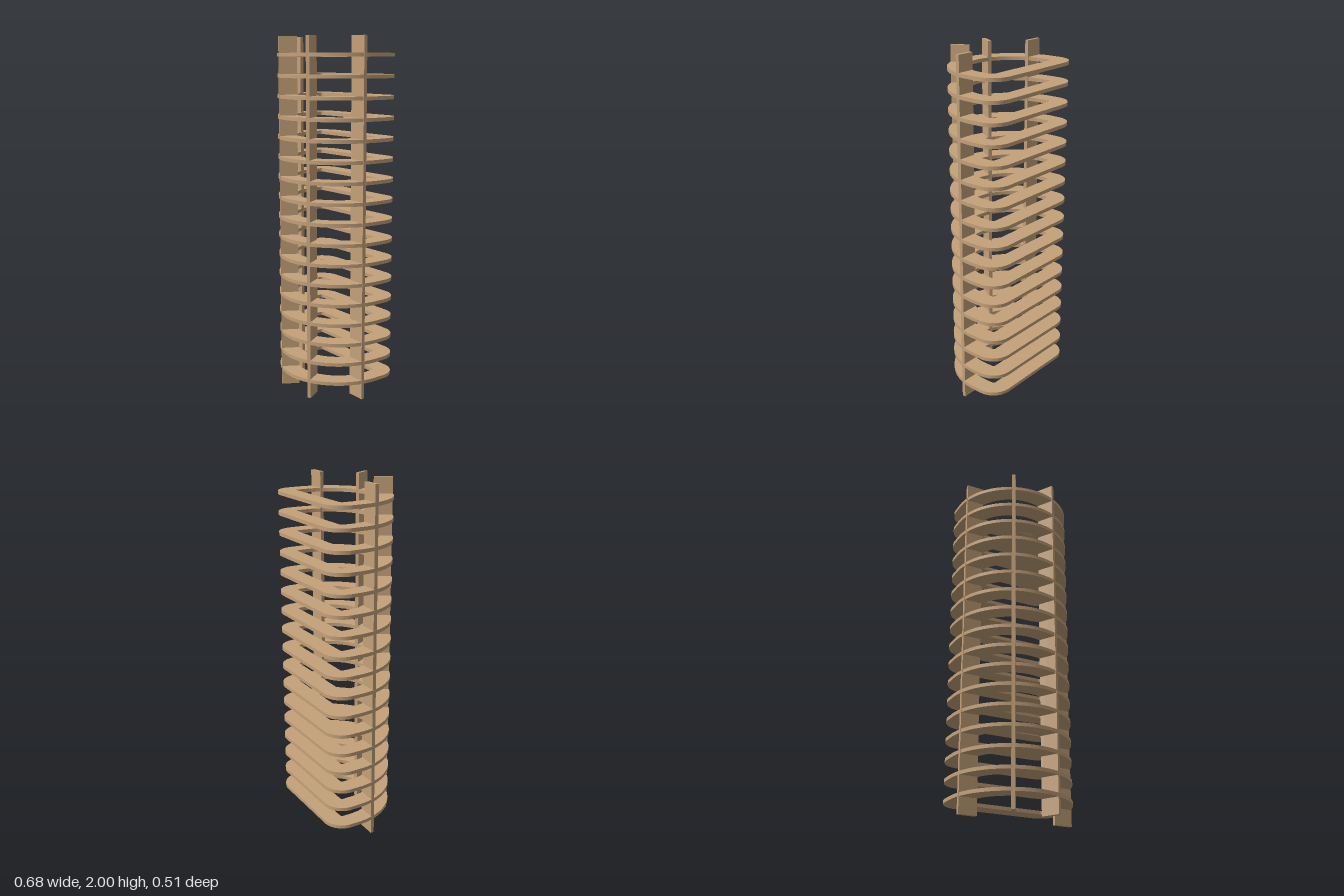
import * as THREE from 'three';

const RINGS = 17, SHEET = 0.02, HEIGHT = 2;
const ARC_Z = -0.087; // centre of the round front

// D-shaped outline: flat back with rounded corners, semicircular front.
// Shape y is -z, so the back is at the top of the shape.
function dOutline(path, r, back, corner) {
  const cy = -ARC_Z, by = -back;
  path.moveTo(-r, cy);
  path.absarc(0, cy, r, Math.PI, Math.PI * 2, false);
  path.lineTo(r, by - corner);
  path.absarc(r - corner, by - corner, corner, 0, Math.PI / 2, false);
  path.lineTo(-r + corner, by);
  path.absarc(-r + corner, by - corner, corner, Math.PI / 2, Math.PI, false);
  path.closePath();
  return path;
}

export function createModel() {
  const model = new THREE.Group();
  model.name = 'ribbedTower';
  const wood = new THREE.MeshStandardMaterial({ color: 0xc4a17a });
  wood.name = 'wood';

  // Stacked rings
  const shape = dOutline(new THREE.Shape(), 0.342, -0.257, 0.113);
  shape.holes.push(dOutline(new THREE.Path(), 0.243, -0.157, 0.014));
  const ringGeo = new THREE.ExtrudeGeometry(shape, { depth: SHEET, bevelEnabled: false, curveSegments: 32 });
  ringGeo.rotateX(-Math.PI / 2).translate(0, -SHEET / 2, 0);
  for (let i = 0; i < RINGS; i++) {
    const ring = new THREE.Mesh(ringGeo, wood);
    ring.name = `ring${i + 1}`;
    ring.position.y = 0.1 + (i * 1.8) / (RINGS - 1);
    model.add(ring);
  }

  // Upright slats, set radially: angle is measured from the front (+z)
  function slat(name, angle, inner, outer) {
    const mesh = new THREE.Mesh(new THREE.BoxGeometry(SHEET, HEIGHT, outer - inner), wood);
    const mid = (inner + outer) / 2;
    mesh.name = name;
    mesh.position.set(Math.sin(angle) * mid, HEIGHT / 2, Math.cos(angle) * mid);
    mesh.rotation.y = angle;
    model.add(mesh);
  }
  for (const [side, s] of [['left', 1], ['right', -1]]) {
    slat(`${side}SideSlat`, s * Math.PI / 2, 0.227, 0.33);
    slat(`${side}FrontSlat`, s * Math.PI / 6, 0.163, 0.264);
  }
  return model;
}
